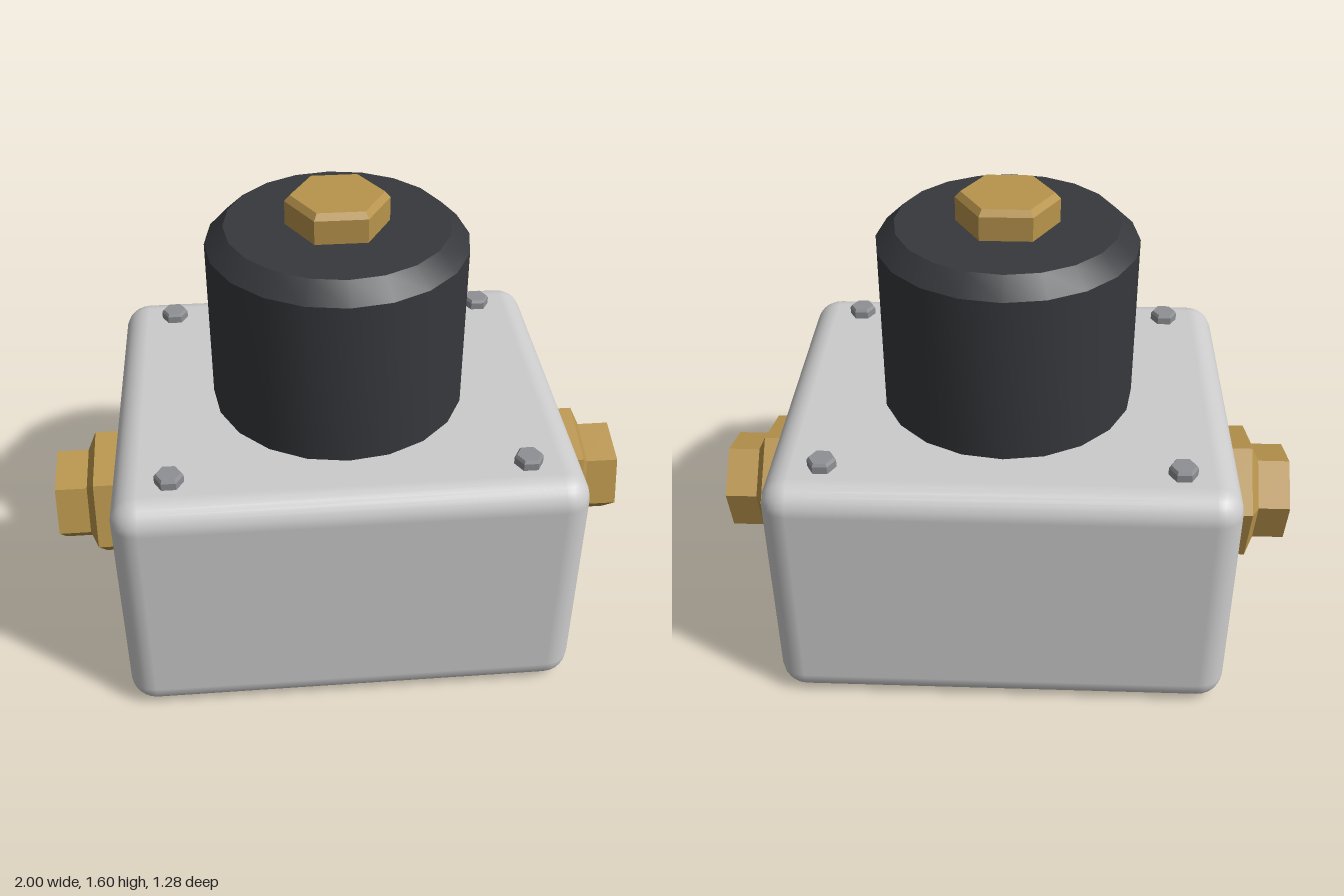
import * as THREE from 'three';
import { RoundedBoxGeometry } from 'three/addons/geometries/RoundedBoxGeometry.js';
import { toCreasedNormals } from 'three/addons/utils/BufferGeometryUtils.js';

const castMetal = new THREE.MeshStandardMaterial({ color: 0xcccccc });
const blackCoil = new THREE.MeshStandardMaterial({ color: 0x36383c });
const brass = new THREE.MeshStandardMaterial({ color: 0xb8944c, flatShading: true });
const steel = new THREE.MeshStandardMaterial({ color: 0x8e9094, flatShading: true });

// Turned part from a [radius, height] profile, with a chosen number of sides
function turned(name, profile, sides, material, startDeg = 0) {
  const points = profile.map(([r, h]) => new THREE.Vector2(r, h));
  const lathe = new THREE.LatheGeometry(points, sides, THREE.MathUtils.degToRad(startDeg));
  const mesh = new THREE.Mesh(toCreasedNormals(lathe, 0.5), material);
  mesh.name = name;
  return mesh;
}

export function createModel() {
  const model = new THREE.Group();
  model.name = 'solenoidValve';

  // Rounded housing
  const body = new THREE.Mesh(new RoundedBoxGeometry(1.52, 0.87, 1.28, 3, 0.09), castMetal);
  body.name = 'body';
  body.position.y = 0.435;
  model.add(body);

  // Chamfered coil housing and its hex cap nut
  model.add(turned('coilHousing',
    [[0, 0.86], [0.427, 0.86], [0.427, 1.44], [0.365, 1.5], [0, 1.5]], 20, blackCoil));
  model.add(turned('capNut',
    [[0, 1.49], [0.168, 1.49], [0.168, 1.58], [0.15, 1.6], [0, 1.6]], 6, brass, 30));

  // Hollow hex pipe fittings on both sides
  const fittingProfile = [
    [0.236, 0.74], [0.236, 0.86], [0.17, 0.89], [0.17, 1], [0.122, 1], [0.122, 0.75],
  ];
  for (const side of [1, -1]) {
    const fitting = turned(side > 0 ? 'leftFitting' : 'rightFitting',
      fittingProfile, 6, brass, side > 0 ? 15 : 45);
    fitting.rotation.z = -side * Math.PI / 2;
    fitting.position.y = 0.44;
    model.add(fitting);
  }

  // Four corner bolts
  const boltProfile = [[0, -0.02], [0.047, -0.02], [0.047, 0.025], [0.04, 0.035], [0, 0.035]];
  for (const x of [-0.57, 0.57]) {
    for (const z of [-0.485, 0.485]) {
      const bolt = turned('cornerBolt', boltProfile, 6, steel, 30);
      bolt.position.set(x, 0.87, z);
      model.add(bolt);
    }
  }
  return model;
}
